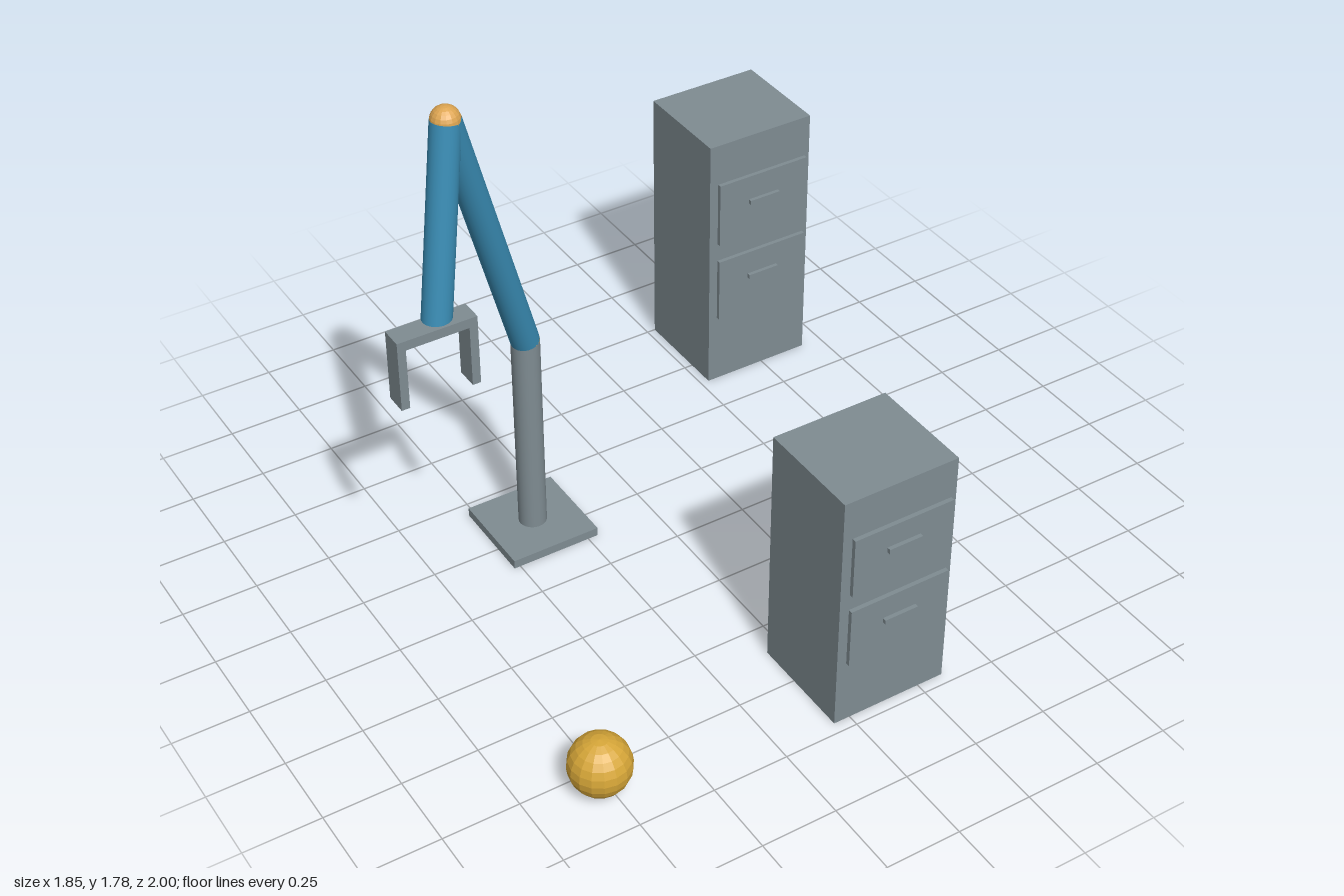
import * as THREE from 'three';

const material = (name, color, flatShading = false) => {
  const m = new THREE.MeshStandardMaterial({ color, flatShading });
  m.name = name;
  return m;
};

export function createModel() {
  const model = new THREE.Group();
  model.name = 'robotArmScene';
  const grey = material('grey metal', 0x7f8c92);
  const blue = material('blue arm paint', 0x3a8db5);
  const orange = material('orange joint', 0xdda551, true);
  const gold = material('gold ball', 0xd6a638, true);

  const add = (parent, name, geometry, mat, x, y, z) => {
    const mesh = new THREE.Mesh(geometry, mat);
    mesh.name = name;
    mesh.position.set(x, y, z);
    parent.add(mesh);
    return mesh;
  };

  // Box given by its minimum and maximum corners
  const box = (parent, name, [x0, y0, z0], [x1, y1, z1]) =>
    add(parent, name, new THREE.BoxGeometry(x1 - x0, y1 - y0, z1 - z0), grey,
      (x0 + x1) / 2, (y0 + y1) / 2, (z0 + z1) / 2);

  // Round tube between two points
  const limb = (parent, name, a, b, radius, mat) => {
    const dir = b.clone().sub(a);
    const mid = a.clone().add(b).multiplyScalar(0.5);
    const mesh = add(parent, name, new THREE.CylinderGeometry(radius, radius, dir.length(), 24), mat, mid.x, mid.y, mid.z);
    mesh.quaternion.setFromUnitVectors(new THREE.Vector3(0, 1, 0), dir.normalize());
  };

  // Arm: base, column, two links and ball joints
  const arm = new THREE.Group();
  arm.name = 'arm';
  model.add(arm);
  const foot = new THREE.Vector3(-0.368, 0.03, -0.294);
  const shoulder = new THREE.Vector3(-0.368, 0.745, -0.294);
  const elbow = new THREE.Vector3(-0.68, 1.73, -0.115);
  const wrist = new THREE.Vector3(-0.777, 1.095, -0.058);
  box(arm, 'basePlate', [-0.521, 0, -0.447], [-0.215, 0.03, -0.141]);
  limb(arm, 'column', foot, shoulder, 0.046, grey);
  limb(arm, 'upperArm', shoulder, elbow, 0.046, blue);
  limb(arm, 'forearm', elbow, wrist, 0.046, blue);
  for (const [name, p] of [['shoulderJoint', shoulder], ['elbowJoint', elbow]]) {
    add(arm, name, new THREE.SphereGeometry(0.046, 16, 12), orange, p.x, p.y, p.z);
  }

  // Gripper: crossbar with two fingers
  const gripper = new THREE.Group();
  gripper.name = 'gripper';
  arm.add(gripper);
  box(gripper, 'crossbar', [-0.928, 1.097, -0.079], [-0.67, 1.129, -0.006]);
  for (const x of [-0.928, -0.697]) {
    box(gripper, 'finger', [x, 0.892, -0.079], [x + 0.027, 1.097, -0.006]);
  }

  // Cabinets with two floating drawer fronts and handles each
  const cabinet = (x, front, height, drawers) => {
    const group = new THREE.Group();
    group.name = 'cabinet';
    model.add(group);
    box(group, 'cabinetBody', [x - 0.197, 0, front - 0.357], [x + 0.197, height, front]);
    for (const [bottom, top, handleY] of drawers) {
      box(group, 'drawerFront', [x - 0.172, bottom, front + 0.01], [x + 0.172, top, front + 0.024]);
      box(group, 'drawerHandle', [x - 0.058, handleY - 0.008, front + 0.024], [x + 0.058, handleY + 0.008, front + 0.037]);
    }
  };
  cabinet(0.142, 0.962, 0.84, [[0.238, 0.447, 0.363], [0.504, 0.714, 0.632]]);
  cabinet(0.727, -0.643, 0.953, [[0.268, 0.505, 0.411], [0.573, 0.81, 0.713]]);

  // Loose ball on the floor
  add(model, 'ball', new THREE.SphereGeometry(0.098, 16, 12), gold, -0.773, 0.098, 0.819);

  return model;
}
